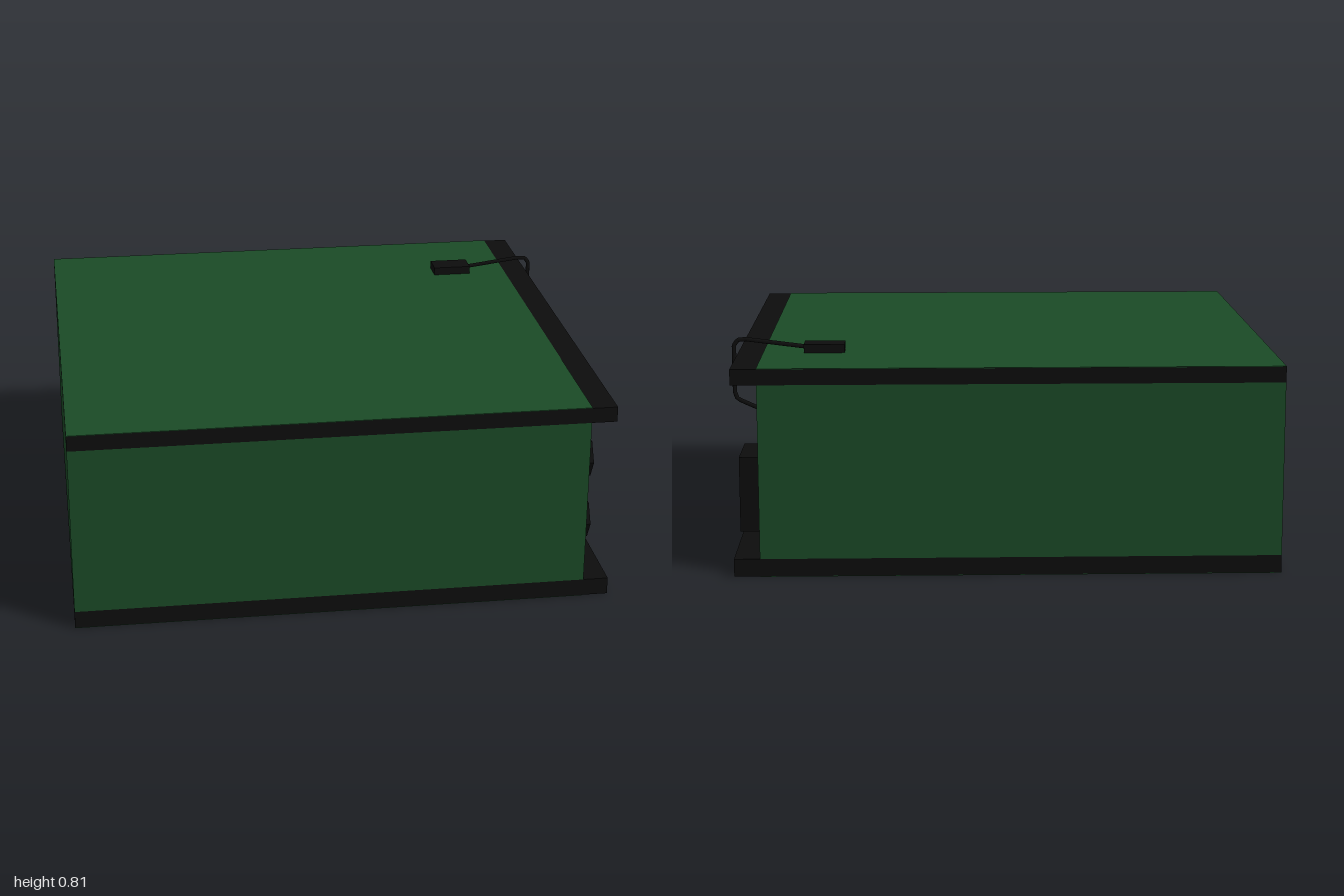
import * as THREE from 'three';

const green = new THREE.MeshStandardMaterial({ color: 0x1b4b27 });
const black = new THREE.MeshStandardMaterial({ color: 0x0d0d0d });
const blackFlat = new THREE.MeshStandardMaterial({ color: 0x0d0d0d, flatShading: true });

export function createModel() {
  const model = new THREE.Group();
  model.name = 'equipmentCase';

  const add = (name, geometry, material) => {
    const mesh = new THREE.Mesh(geometry, material);
    mesh.name = name;
    model.add(mesh);
    return mesh;
  };
  // Box given by its lowest and highest corners
  const box = (name, material, [x0, y0, z0], [x1, y1, z1]) => {
    const mesh = add(name, new THREE.BoxGeometry(x1 - x0, y1 - y0, z1 - z0), material);
    mesh.position.set((x0 + x1) / 2, (y0 + y1) / 2, (z0 + z1) / 2);
    return mesh;
  };

  const depth = 0.945; // half depth of the case
  const panelX = 0.88; // plane of the connector panel

  // Case walls between two dark plates that overhang the panel
  box('caseBody', green, [-1, 0.066, -depth], [panelX, 0.7, depth]);
  box('bottomPlate', black, [-1, 0.002, -depth], [0.973, 0.066, depth]);
  box('topPlate', black, [-1, 0.7, -depth], [0.973, 0.757, depth]);

  // Green skins on the outer faces of the plates
  box('topSkin', green, [-1, 0.757, -depth], [panelX, 0.759, depth]);
  box('bottomSkin', green, [-1, 0, -depth], [panelX, 0.002, depth]);

  // Hexagonal knobs on the panel
  for (const [y, z] of [[0.5, 0.78], [0.25, 0.78], [0.5, 0.26], [0.5, 0]]) {
    const knob = add('hexKnob', new THREE.CylinderGeometry(0.079, 0.079, 0.04, 6), blackFlat);
    knob.rotation.z = -Math.PI / 2;
    knob.position.set(panelX + 0.02, y, z);
  }

  // Power block and the small antenna box on top
  box('powerBlock', black, [panelX, 0.105, -0.7], [0.97, 0.385, -0.455]);
  box('antennaBox', black, [0.58, 0.759, -0.617], [0.73, 0.79, -0.527]);

  // Cable from the antenna box, over the plate edge, into the panel
  const cableZ = -0.572;
  const points = [
    [0.72, 0.775], [0.945, 0.804], [0.975, 0.802], [0.99, 0.782],
    [0.99, 0.605], [0.982, 0.583], [0.965, 0.573], [0.875, 0.532],
  ].map(([x, y]) => new THREE.Vector3(x, y, cableZ));
  const path = new THREE.CurvePath();
  for (let i = 1; i < points.length; i++) path.add(new THREE.LineCurve3(points[i - 1], points[i]));
  add('antennaCable', new THREE.TubeGeometry(path, 80, 0.008, 8), black);

  return model;
}
